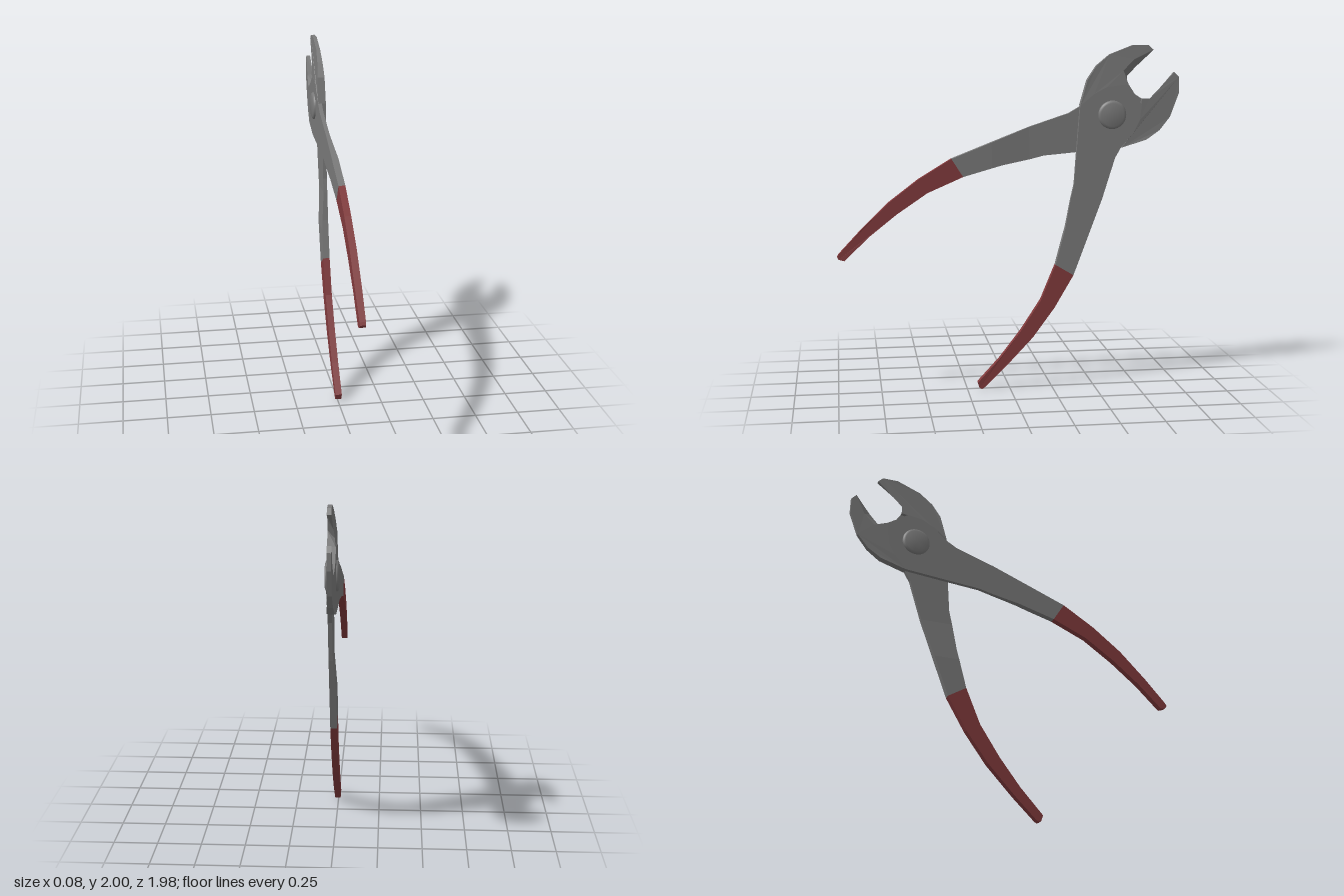
import * as THREE from 'three';
import { toCreasedNormals } from 'three/addons/utils/BufferGeometryUtils.js';

const steel = new THREE.MeshStandardMaterial({ color: 0x797979 });
const rubber = new THREE.MeshStandardMaterial({ color: 0x813a3c });

// Plate from an outline of [u, y, u2, y2] points (u = -z, counter-clockwise from +x).
// The optional u2, y2 shift the +x face, giving a bevel. span(y) gives [xMin, xMax].
function plate(name, outline, span, material) {
  const n = outline.length;
  const back = outline.map(([u, y]) => new THREE.Vector2(u, y));
  const front = outline.map(([u, y, u2 = u, y2 = y]) => new THREE.Vector2(u2, y2));
  const pos = [];
  const index = [];
  for (const p of back) pos.push(span(p.y)[0], p.y, -p.x);
  for (const p of front) pos.push(span(p.y)[1], p.y, -p.x);
  for (const [a, b, c] of THREE.ShapeUtils.triangulateShape(back, [])) index.push(a, c, b);
  for (const [a, b, c] of THREE.ShapeUtils.triangulateShape(front, [])) index.push(a + n, b + n, c + n);
  for (let i = 0; i < n; i++) {
    const j = (i + 1) % n;
    index.push(i, j, j + n, i, j + n, i + n);
  }
  const geo = new THREE.BufferGeometry();
  geo.setAttribute('position', new THREE.Float32BufferAttribute(pos, 3));
  geo.setIndex(index);
  const flat = geo.toNonIndexed();
  flat.computeVertexNormals();
  const mesh = new THREE.Mesh(flat, material);
  mesh.name = name;
  return mesh;
}

const ramp = (v, a, b, from, to) => THREE.MathUtils.mapLinear(THREE.MathUtils.clamp(v, a, b), a, b, from, to);

function lever(name) {
  const group = new THREE.Group();
  group.name = name;

  // half-thickness head around the pivot, running down into the shank
  group.add(plate('head', [
    [0.355, 1.12], [0.541, 1.12], [0.613, 1.353], [0.645, 1.41], [0.719, 1.496], [0.756, 1.57],
    [0.767, 1.66], [0.719, 1.729], [0.687, 1.777], [0.649, 1.773], [0.559, 1.761], [0.486, 1.722],
    [0.406, 1.655], [0.387, 1.395], [0.374, 1.204],
  ], () => [0, 0.023], steel));

  // full-thickness jaw seated on the other head, thinning to the tip, with a bevelled gripping edge
  group.add(plate('jaw', [
    [0.406, 1.655], [0.486, 1.722], [0.559, 1.761], [0.649, 1.773], [0.687, 1.777],
    [0.685, 1.823, 0.657, 1.855], [0.74, 1.88, 0.718, 1.918], [0.833, 1.973], [0.804, 2], [0.713, 2],
    [0.576, 1.947], [0.5, 1.883], [0.448, 1.804],
  ], (y) => [ramp(y, 1.78, 1.95, -0.022, -0.008), ramp(y, 1.78, 1.95, 0.023, 0.015)], steel));

  // shank thickens towards the grip
  const shankSpan = (y) => [ramp(y, 0.9, 1.12, -0.015, 0), 0.023];
  group.add(plate('shankRamp', [
    [0.312, 0.9], [0.46, 0.9], [0.541, 1.12], [0.355, 1.12], [0.326, 0.955],
  ], shankSpan, steel));
  group.add(plate('lowerShank', [
    [0.268, 0.732], [0.374, 0.668], [0.46, 0.9], [0.312, 0.9],
  ], shankSpan, steel));

  // curved coloured grip with a chamfered end
  group.add(plate('grip', [
    [-0.18, 0.008], [-0.165, 0], [-0.15, 0.01], [-0.019, 0.138], [0.135, 0.302], [0.263, 0.477],
    [0.374, 0.668], [0.268, 0.732], [0.183, 0.525], [0.066, 0.345], [-0.056, 0.186], [-0.19, 0.04],
  ], (y) => [ramp(y, 0, 0.03, -0.012, -0.015), ramp(y, 0, 0.03, 0.02, 0.023)], rubber));
  return group;
}

export function createModel() {
  const model = new THREE.Group();
  model.name = 'pliers';

  // two identical levers, the second turned half round about the jaw axis
  model.add(lever('lowerLever'));
  const second = lever('upperLever');
  second.quaternion.setFromAxisAngle(new THREE.Vector3(0, 1.01, -0.99).normalize(), Math.PI);
  second.position.set(0, 0.973, 0.996);
  model.add(second);

  // pivot rivet with rounded rims on both sides
  const half = [[0, 0.038], [0.066, 0.037], [0.077, 0.033], [0.082, 0.026]];
  const profile = [
    ...half.map(([r, h]) => new THREE.Vector2(r, -h)),
    ...half.slice().reverse().map(([r, h]) => new THREE.Vector2(r, h)),
  ];
  const rivet = new THREE.Mesh(toCreasedNormals(new THREE.LatheGeometry(profile, 32), 0.7), steel);
  rivet.name = 'pivotRivet';
  rivet.rotation.z = -Math.PI / 2;
  rivet.position.set(0, 1.603, -0.593);
  model.add(rivet);

  return model;
}
